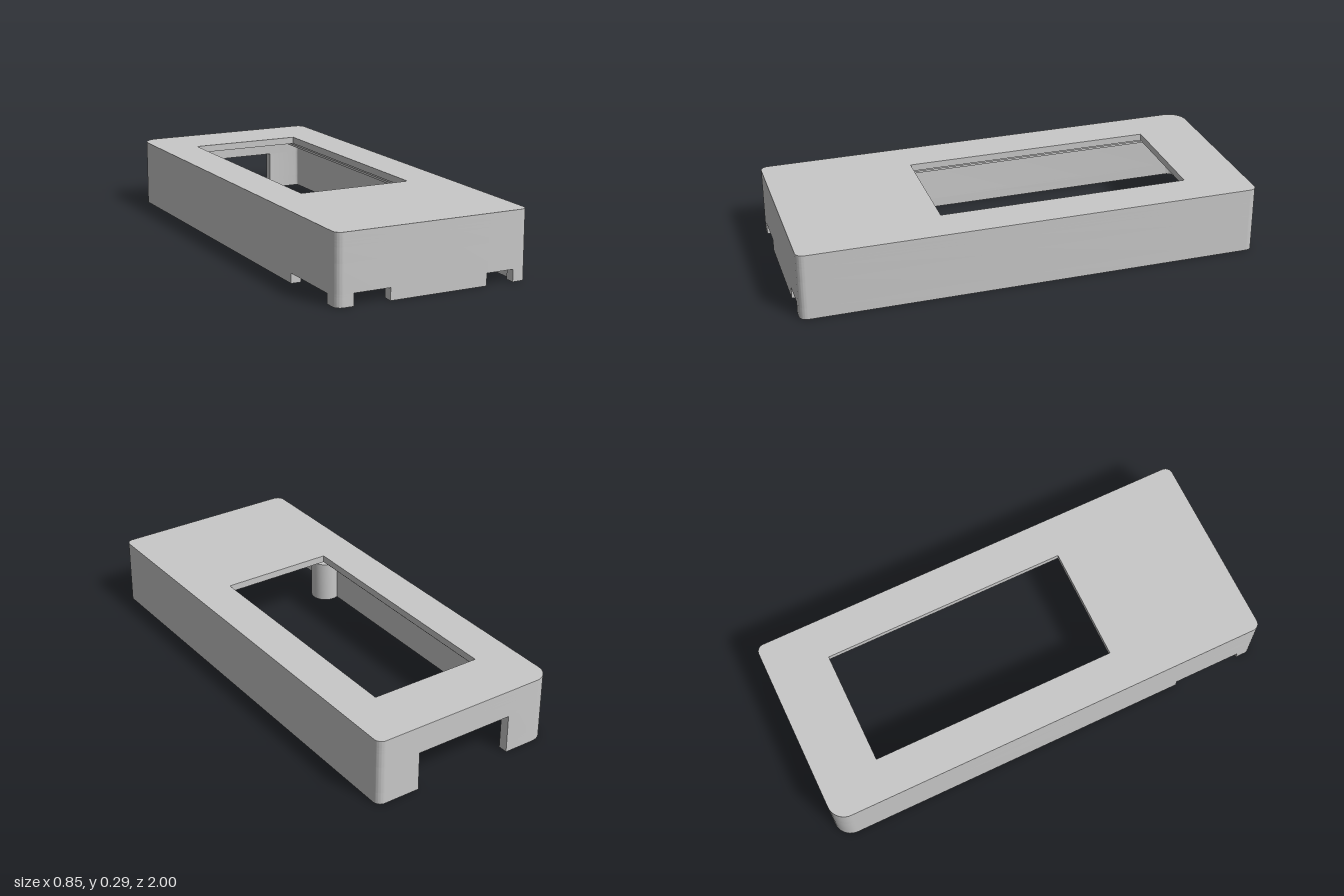
import * as THREE from 'three';
import { toCreasedNormals } from 'three/addons/utils/BufferGeometryUtils.js';

const W = 0.427, L = 1, T = 0.043; // half width, half length, wall thickness
const FRONT_R = 0.033;
const backRadius = s => (s < 0 ? 0.075 : 0.033);

// Points of a quarter arc in the x-z plane
function arc(cx, cz, r, fromDeg, toDeg, n = 10) {
  return Array.from({ length: n + 1 }, (_, i) => {
    const a = THREE.MathUtils.degToRad(fromDeg + (toDeg - fromDeg) * i / n);
    return [cx + r * Math.cos(a), cz + r * Math.sin(a)];
  });
}

// Back and front corners of one side (s = +1 or -1), inset from the outer face
function sideCurve(s, inset) {
  const rb = Math.max(backRadius(s) - inset, 0.012);
  const rf = Math.max(FRONT_R - inset, 0.012);
  const w = W - inset, l = L - inset;
  return [...arc(w - rb, rb - l, rb, -90, 0), ...arc(w - rf, l - rf, rf, 0, 90)]
    .map(([x, z]) => [s * x, z]);
}

const toShape = pts => new THREE.Shape(pts.map(([x, z]) => new THREE.Vector2(x, -z)));
const rectPoints = (x0, x1, z0, z1) => [[x0, z0], [x1, z0], [x1, z1], [x0, z1]];

export function createModel() {
  const group = new THREE.Group();
  const plastic = new THREE.MeshStandardMaterial({ color: 0xc8c8c8 });
  plastic.name = 'grey plastic';

  function add(name, geometry) {
    const mesh = new THREE.Mesh(geometry, plastic);
    mesh.name = name;
    group.add(mesh);
    return mesh;
  }

  // Upright slab of a floor-plan shape between two heights
  function slab(name, shape, y0, y1) {
    const g = new THREE.ExtrudeGeometry(shape, { depth: y1 - y0, bevelEnabled: false });
    g.rotateX(-Math.PI / 2);
    g.translate(0, y0, 0);
    add(name, toCreasedNormals(g, 0.5));
  }

  // Side wall that wraps round both corners to the given x on the back and front
  function wall(name, s, xBack, xFront, y0, y1) {
    slab(name, toShape([
      [s * xBack, -L], ...sideCurve(s, 0), [s * xFront, L],
      [s * xFront, L - T], ...sideCurve(s, T).reverse(), [s * xBack, T - L],
    ]), y0, y1);
  }

  // Walls: front notches at the rim, a taller opening in the back
  const sideNotchTop = 0.042, notchTop = 0.052, openingTop = 0.172, ceiling = 0.235;
  const openRight = 0.215, openLeft = 0.232, rightNotch = 0.352;
  wall('leftLowerWall', 1, openLeft, 0.363, 0, notchTop);
  wall('rightLowerWall', -1, openRight, rightNotch, sideNotchTop, notchTop);
  for (const s of [-1, 1]) {
    const side = s < 0 ? 'right' : 'left';
    wall(side + 'MiddleWall', s, s < 0 ? openRight : openLeft, 0, notchTop, openingTop);
    wall(side + 'UpperWall', s, 0, 0, openingTop, ceiling);
  }
  slab('frontLowerWall', toShape(rectPoints(-0.193, 0.24, L - T, L)), 0, notchTop);

  // Right rim, in two pieces either side of the small side notch
  const backHalf = inset => sideCurve(-1, inset).filter(p => p[1] < 0);
  const frontHalf = inset => sideCurve(-1, inset).filter(p => p[1] > 0);
  slab('rightBackRim', toShape([
    [-openRight, -L], ...backHalf(0), [-W, 0.62],
    [T - W, 0.62], ...backHalf(T).reverse(), [-openRight, T - L],
  ]), 0, sideNotchTop);
  slab('rightFrontRim', toShape([
    [-W, 0.925], ...frontHalf(0), [-rightNotch, L],
    [-rightNotch, L - T], ...frontHalf(T).reverse(), [T - W, 0.925],
  ]), 0, sideNotchTop);

  // Top: stepped recess below, window opening above
  const layers = [
    ['outerRecess', 0.28, -0.905, 0.49, ceiling, 0.25],
    ['innerRecess', 0.265, -0.87, 0.455, 0.25, 0.262],
    ['windowPlate', 0.252, -0.735, 0.36, 0.262, 0.293],
  ];
  for (const [name, hx, z0, z1, y0, y1] of layers) {
    const shape = toShape([...sideCurve(-1, 0), ...sideCurve(1, 0).reverse()]);
    shape.holes.push(toShape(rectPoints(-hx, hx, z0, z1)));
    slab(name, shape, y0, y1);
  }

  // Hollow screw posts with a counterbored lower end
  const postTop = 0.187;
  const profile = [[0, 0.15], [0.036, 0.15], [0.036, 0.02], [0.05, 0.02],
    [0.05, 0], [0.065, 0], [0.065, postTop], [0, postTop]]
    .map(([r, y]) => new THREE.Vector2(r, y));
  const postGeometry = toCreasedNormals(new THREE.LatheGeometry(profile, 32), 0.5);
  for (const [name, x, z] of [['leftPost', 0.355, 0.5], ['rightPost', -0.357, 0.5], ['frontPost', 0.015, 0.91]]) {
    add(name, postGeometry).position.set(x, 0, z);
  }

  return group;
}
